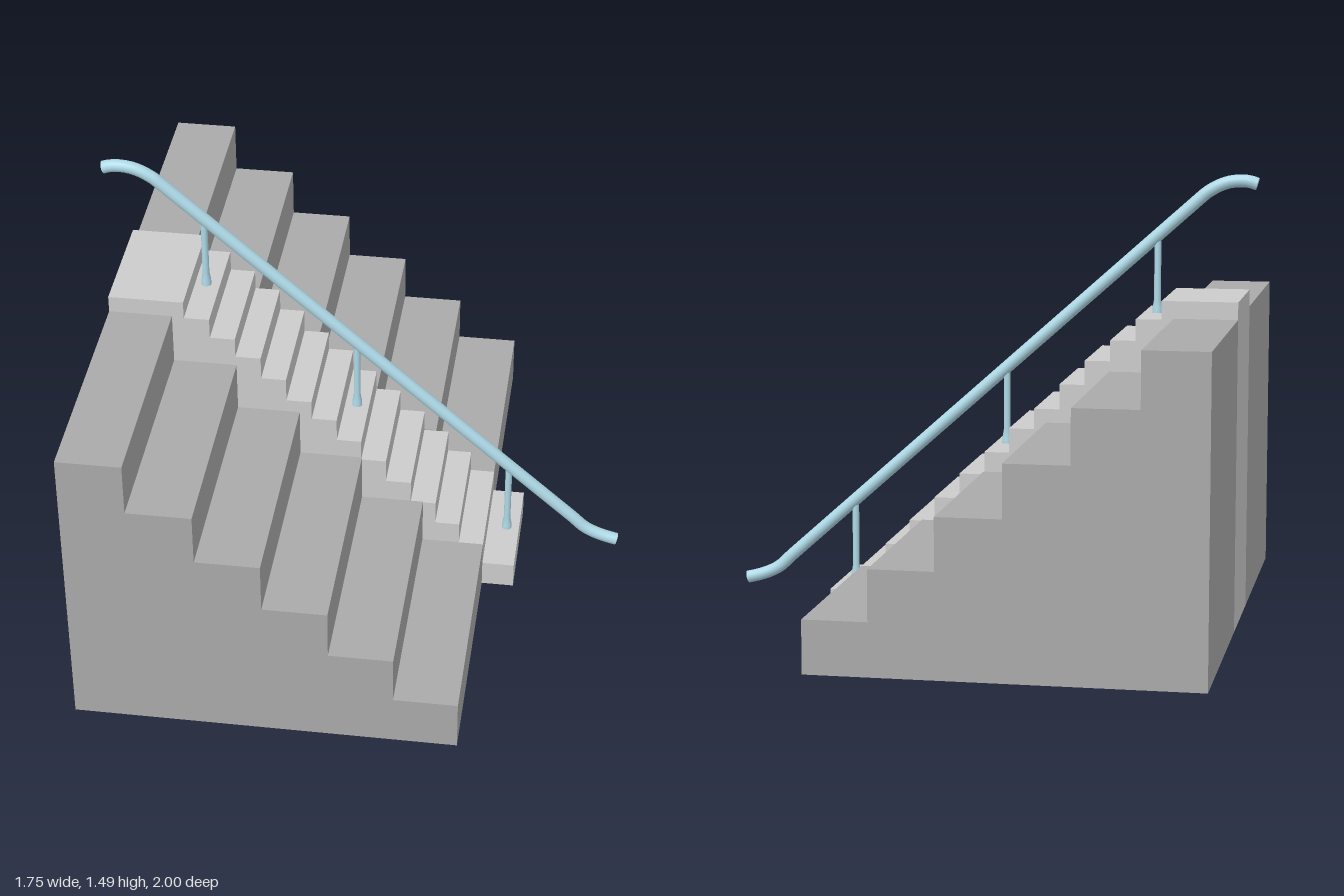
import * as THREE from 'three';

const stone = new THREE.MeshStandardMaterial({ color: 0xa9a9a9 });
const paleStone = new THREE.MeshStandardMaterial({ color: 0xd3d3d3 });
const metal = new THREE.MeshStandardMaterial({ color: 0xadd8e6 });

const BACK = -0.826;
const RAIL_Z = -0.007;

// Stepped side profile, from the lowest step up, extruded across z
function stairs(name, fronts, tops, z0, z1, material) {
  const shape = new THREE.Shape();
  shape.moveTo(BACK, 0);
  shape.lineTo(fronts[0], 0);
  fronts.forEach((x, i) => {
    shape.lineTo(x, tops[i]);
    shape.lineTo(fronts[i + 1] ?? BACK, tops[i]);
  });
  const geometry = new THREE.ExtrudeGeometry(shape, { depth: z1 - z0, bevelEnabled: false });
  geometry.translate(0, 0, z0);
  const mesh = new THREE.Mesh(geometry, material);
  mesh.name = name;
  return mesh;
}

// Height of the straight part of the rail
const railY = (x) => 0.8 - 0.893 * x;

function handrail() {
  const points = [
    [-0.866, 1.454], [-0.84, 1.462], [-0.81, 1.464], [-0.775, 1.46], [-0.74, 1.448],
    [-0.7, railY(-0.7)],
  ].map(([x, y]) => new THREE.Vector3(x, y, RAIL_Z));
  const lower = [
    [0.72, railY(0.72)], [0.757, 0.122], [0.79, 0.103], [0.83, 0.088], [0.873, 0.077],
  ].map(([x, y]) => new THREE.Vector3(x, y, RAIL_Z));

  const path = new THREE.CurvePath();
  path.add(new THREE.CatmullRomCurve3(points));
  path.add(new THREE.LineCurve3(points.at(-1), lower[0]));
  path.add(new THREE.CatmullRomCurve3(lower));

  const group = new THREE.Group();
  group.name = 'handrail';
  const tube = new THREE.Mesh(new THREE.TubeGeometry(path, 120, 0.021, 16), metal);
  tube.name = 'railTube';
  group.add(tube);

  // Flat discs closing both ends
  for (const t of [0, 1]) {
    const cap = new THREE.Mesh(new THREE.CircleGeometry(0.021, 16), metal);
    const outward = path.getTangent(t).multiplyScalar(t ? 1 : -1);
    cap.position.copy(path.getPoint(t));
    cap.quaternion.setFromUnitVectors(new THREE.Vector3(0, 0, 1), outward);
    cap.name = 'railEnd';
    group.add(cap);
  }
  return group;
}

// Slim post with a flared foot, reaching into the rail
function post(x, y) {
  const h = railY(x) - y;
  const profile = [[0.017, 0], [0.016, 0.018], [0.0115, 0.045], [0.0115, h]];
  const geometry = new THREE.LatheGeometry(profile.map((p) => new THREE.Vector2(...p)), 16);
  const mesh = new THREE.Mesh(geometry, metal);
  mesh.position.set(x, y, RAIL_Z);
  mesh.name = 'railPost';
  return mesh;
}

export function createModel() {
  const model = new THREE.Group();
  model.name = 'staircase';

  // Large seating steps on both sides
  const bigFronts = [0.425, 0.217, 0.009, -0.2, -0.408, -0.617];
  const bigTops = [0.173, 0.338, 0.507, 0.677, 0.851, 1.029];
  model.add(stairs('frontLargeSteps', bigFronts, bigTops, 0.198, 1, stone));
  model.add(stairs('backLargeSteps', bigFronts, bigTops, -1, -0.202, stone));

  // Narrow walking steps in the middle
  const smallFronts = [0.533, 0.425, 0.342, 0.26, 0.175, 0.09, 0.006,
    -0.076, -0.16, -0.244, -0.327, -0.411, -0.494, -0.578];
  const smallTops = [0.09, 0.173, 0.252, 0.335, 0.415, 0.498, 0.573,
    0.654, 0.722, 0.805, 0.885, 0.954, 1.025, 1.086];
  model.add(stairs('middleSteps', smallFronts, smallTops, -0.202, 0.198, paleStone));

  model.add(handrail());
  for (const [x, y] of [[-0.54, 1.025], [-0.035, 0.573], [0.49, 0.09]]) model.add(post(x, y));
  return model;
}
